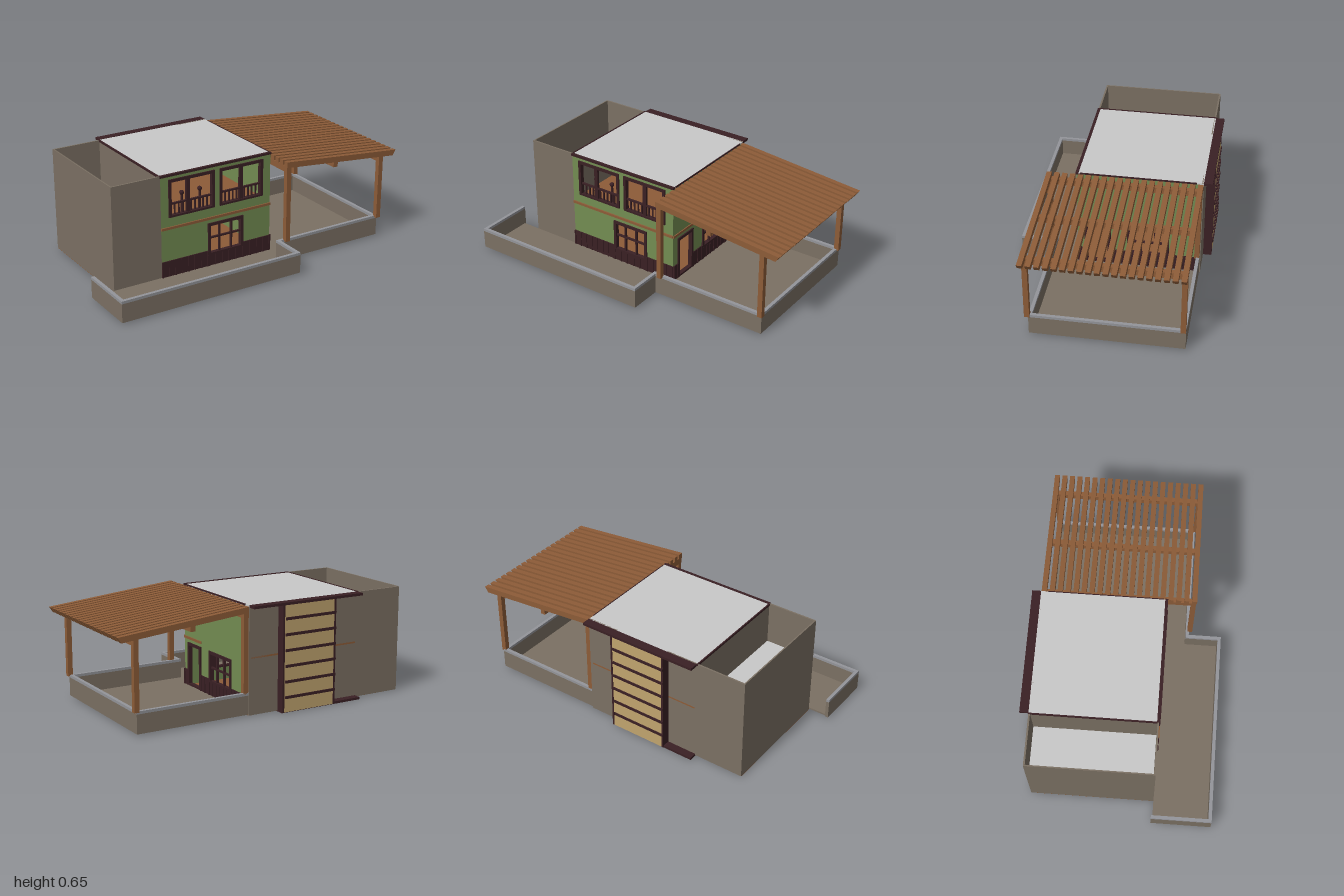
import * as THREE from 'three';

const mat = (name, color, side = THREE.FrontSide) => {
  const m = new THREE.MeshStandardMaterial({ color, side });
  m.name = name;
  return m;
};

export function createModel() {
  const model = new THREE.Group();
  model.name = 'house';
  const stone = mat('grey brown plaster', 0x7b7063);
  const green = mat('green plaster', 0x738c52);
  const wood = mat('wood', 0x8d5c38);
  const dark = mat('dark red timber', 0x3a2024);
  const tan = mat('tan glass', 0xc0a46e, THREE.DoubleSide);
  const roofGrey = mat('light grey roof', 0xc8c8c8);
  const capGrey = mat('coping grey', 0x94959a);

  const add = (name, geometry, material, parent = model) => {
    const mesh = new THREE.Mesh(geometry, material);
    mesh.name = name;
    parent.add(mesh);
    return mesh;
  };
  const box = (name, m, x0, x1, y0, y1, z0, z1, parent = model) => {
    const g = new THREE.BoxGeometry(x1 - x0, y1 - y0, z1 - z0);
    g.translate((x0 + x1) / 2, (y0 + y1) / 2, (z0 + z1) / 2);
    return add(name, g, m, parent);
  };
  const rectPoints = (u0, u1, y0, y1) =>
    [[u0, y0], [u1, y0], [u1, y1], [u0, y1]].map(([x, y]) => new THREE.Vector2(x, y));

  // Wall in the XY plane with rectangular openings; outer face at z = 0
  const wall = (name, m, u0, u1, y0, y1, holes, parent) => {
    const shape = new THREE.Shape(rectPoints(u0, u1, y0, y1));
    holes.forEach(h => shape.holes.push(new THREE.Path(rectPoints(...h))));
    const g = new THREE.ExtrudeGeometry(shape, { depth: 0.015, bevelEnabled: false });
    g.translate(0, 0, -0.015);
    return add(name, g, m, parent);
  };
  // Timber frame around an opening, with bars at the given positions
  const frame = (name, [u0, u1, y0, y1], uprights, rails, parent, bar = 0.005) => {
    const group = new THREE.Group();
    group.name = name;
    parent.add(group);
    const t = 0.018;
    box('frameLeft', dark, u0, u0 + t, y0, y1, -0.018, 0.008, group);
    box('frameRight', dark, u1 - t, u1, y0, y1, -0.018, 0.008, group);
    box('frameTop', dark, u0 + t, u1 - t, y1 - t, y1, -0.018, 0.008, group);
    box('frameSill', dark, u0 + t, u1 - t, y0, y0 + 0.012, -0.018, 0.008, group);
    uprights.forEach(u => box('mullion', dark, u - bar, u + bar, y0 + 0.012, y1 - t, -0.012, 0.003, group));
    rails.forEach(y => box('crossBar', dark, u0 + t, u1 - t, y - 0.005, y + 0.005, -0.011, 0.002, group));
    return group;
  };

  // Front facade
  const front = new THREE.Group();
  front.name = 'frontFacade';
  front.position.z = 0.22;
  model.add(front);
  const upperLeft = [-0.505, -0.2, 0.385, 0.615];
  const upperRight = [-0.165, 0.135, 0.385, 0.615];
  const lower = [-0.245, 0, 0.09, 0.29];
  wall('frontWall', green, -0.555, 0.19, 0.01, 0.635, [upperLeft, upperRight, lower], front);
  frame('lowerWindow', lower, [-0.163, -0.082], [0.195], front);
  [[upperLeft, -0.375], [upperRight, -0.015]].forEach(([w, mid]) => {
    const g = frame('upperWindow', w, [mid], [0.465], front, 0.012);
    for (let i = 1; i < 10; i++) {
      const u = w[0] + 0.018 + (w[1] - w[0] - 0.036) * i / 10;
      box('baluster', dark, u - 0.004, u + 0.004, 0.395, 0.465, -0.011, -0.003, g);
    }
  });
  [-0.4, -0.28].forEach(x => {
    const post = add('finialPost', new THREE.CylinderGeometry(0.007, 0.009, 0.11, 8), dark, front);
    post.position.set(x, 0.445, -0.03);
    const ball = add('finialBall', new THREE.SphereGeometry(0.014, 10, 8), dark, front);
    ball.position.set(x, 0.508, -0.03);
  });
  box('frontBand', wood, -0.555, 0.19, 0.313, 0.328, 0, 0.008, front);

  // Side facade, drawn with u = -z
  const side = new THREE.Group();
  side.name = 'sideFacade';
  side.position.x = 0.19;
  side.rotation.y = Math.PI / 2;
  model.add(side);
  const sideDoor = [-0.178, -0.02, 0.022, 0.29];
  const sideWindow = [0.08, 0.33, 0.1, 0.29];
  wall('sideWall', green, -0.22, 0.515, 0.01, 0.635, [sideDoor, sideWindow], side);
  frame('sideDoor', sideDoor, [], [], side);
  frame('sideWindow', sideWindow, [0.163, 0.245], [0.19], side);
  box('sideBand', wood, -0.22, -0.015, 0.31, 0.325, 0, 0.006, side);

  // Dark wainscot with battens
  const wainscot = (parent, u0, u1, top) => {
    box('wainscot', dark, u0, u1, 0.012, top, 0, 0.005, parent);
    const n = Math.max(1, Math.round((u1 - u0) / 0.045));
    for (let i = 0; i <= n; i++) {
      const u = u0 + 0.004 + (u1 - u0 - 0.008) * i / n;
      box('batten', dark, u - 0.004, u + 0.004, 0.02, top, 0.005, 0.009, parent);
    }
  };
  wainscot(front, -0.555, -0.245, 0.117);
  wainscot(front, -0.245, 0, 0.09);
  wainscot(front, 0, 0.19, 0.117);
  wainscot(side, -0.22, -0.178, 0.117);
  wainscot(side, -0.02, 0.08, 0.117);
  wainscot(side, 0.08, 0.33, 0.1);
  wainscot(side, 0.33, 0.49, 0.117);

  // Floors, roof and trim
  box('houseFloor', wood, -0.865, 0.19, 0.003, 0.012, -0.515, 0.22);
  box('upperFloor', wood, -0.545, 0.175, 0.335, 0.345, -0.52, 0.2);
  box('roof', roofGrey, -0.555, 0.19, 0.632, 0.643, -0.52, 0.21);
  box('roofFrontTrim', dark, -0.56, 0.193, 0.633, 0.646, 0.208, 0.225);
  box('roofLeftTrim', dark, -0.563, -0.555, 0.634, 0.646, -0.52, 0.21);
  box('roofRightTrim', dark, 0.188, 0.193, 0.636, 0.645, -0.48, 0.2);

  // Open-topped side block
  box('partitionWall', stone, -0.56, -0.546, 0.01, 0.634, -0.515, 0.21);
  box('blockFrontWall', stone, -0.865, -0.555, 0.005, 0.645, 0.21, 0.22);
  box('blockLeftWall', stone, -0.865, -0.857, 0.005, 0.645, -0.51, 0.21);
  box('blockTerrace', roofGrey, -0.857, -0.56, 0.375, 0.385, -0.51, 0.21);
  box('backWallLeft', stone, -0.865, -0.36, 0.005, 0.643, -0.52, -0.51);
  box('backWallRight', stone, -0.01, 0.19, 0.005, 0.643, -0.52, -0.51);

  // Tall glazed bay on the back
  const bay = new THREE.Group();
  bay.name = 'backBay';
  model.add(bay);
  box('bayGlass', tan, -0.358, -0.012, 0.004, 0.642, -0.571, -0.567, bay);
  box('bayRightSide', dark, -0.015, -0.003, 0.004, 0.642, -0.572, -0.515, bay);
  box('bayLeftSide', dark, -0.367, -0.355, 0.004, 0.642, -0.572, -0.515, bay);
  box('bayTopLedge', dark, -0.555, 0.19, 0.63, 0.645, -0.572, -0.52, bay);
  box('bayBottomLedge', dark, -0.555, -0.003, 0, 0.014, -0.566, -0.51, bay);
  for (let i = 1; i <= 6; i++) {
    const y = 0.092 * i;
    box('baySlat', dark, -0.367, -0.02, y - 0.008, y + 0.008, -0.577, -0.567, bay);
  }

  // Terrace and yard slabs
  box('terraceFloor', stone, -1, 0.17, 0.01, 0.02, 0.22, 0.57);
  box('yardFloor', stone, 0.17, 0.895, 0.01, 0.02, 0.22, 0.37);
  box('yardSideFloor', stone, 0.19, 0.895, 0.01, 0.02, -0.515, 0.22);

  // Low parapet walls with coping: x0, x1, z0, z1
  [
    [-1, -0.98, 0.21, 0.55],
    [-1, 0.17, 0.55, 0.57],
    [0.15, 0.17, 0.35, 0.55],
    [0.17, 0.895, 0.35, 0.37],
    [0.875, 0.895, -0.495, 0.35],
    [0.19, 0.895, -0.515, -0.495],
  ].forEach(([x0, x1, z0, z1]) => {
    box('parapet', stone, x0, x1, 0.012, 0.122, z0, z1);
    box('coping', capGrey, x0, x1, 0.122, 0.138, z0, z1);
  });

  // Pergola
  const pergola = new THREE.Group();
  pergola.name = 'pergola';
  model.add(pergola);
  const rafterShape = new THREE.Shape(
    [[0.19, 0.6], [0.978, 0.525], [1, 0.558], [0.19, 0.635]].map(([x, y]) => new THREE.Vector2(x, y)));
  const rafterGeometry = new THREE.ExtrudeGeometry(rafterShape, { depth: 0.03, bevelEnabled: false });
  for (let i = 0; i < 20; i++) {
    add('rafter', rafterGeometry, wood, pergola).position.z = 0.365 - i * 0.0465;
  }
  [[0.19, 0.22, 0.57, 0.606], [0.53, 0.56, 0.535, 0.572], [0.877, 0.907, 0.5, 0.537]].forEach(([x0, x1, y0, y1]) =>
    box('beam', wood, x0, x1, y0, y1, -0.515, 0.39, pergola));
  [[0.192, 0.222, 0.6], [0.877, 0.907, 0.53]].forEach(([x0, x1, top]) => {
    box('frontPost', wood, x0, x1, 0.13, top, 0.36, 0.39, pergola);
    box('backPost', wood, x0, x1, 0.13, top, -0.515, -0.485, pergola);
  });

  return model;
}
